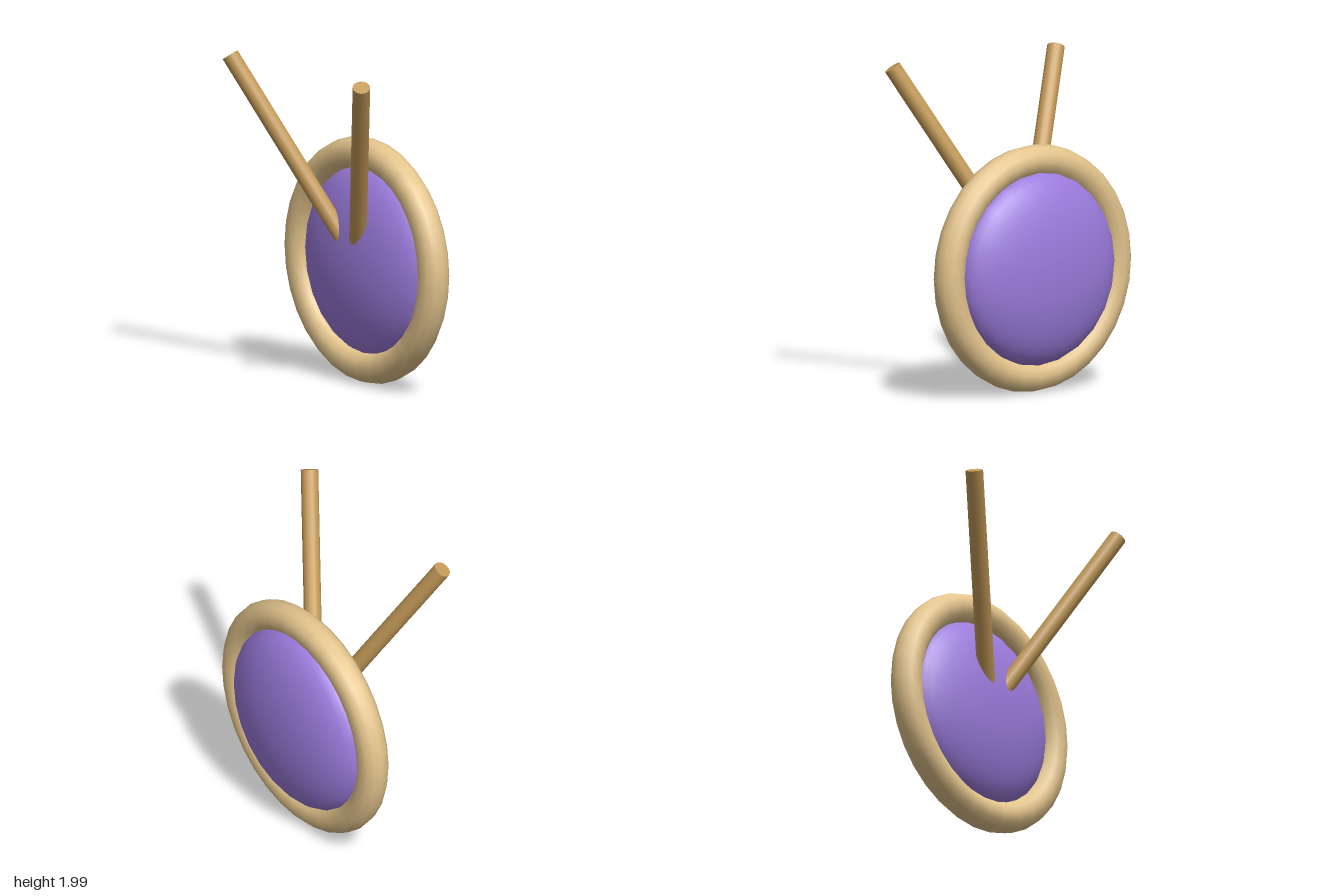
import * as THREE from 'three';

export function createModel() {
  const model = new THREE.Group();
  const paint = (color) => new THREE.MeshStandardMaterial({ color });
  const cushionPurple = paint(0x9b7bdc);
  const paleWood = paint(0xe3c48c);
  const wood = paint(0xc49a58);

  const add = (name, geometry, material, x, y, z) => {
    const mesh = new THREE.Mesh(geometry, material);
    mesh.name = name;
    mesh.position.set(x, y, z);
    model.add(mesh);
    return mesh;
  };

  // Upright hoop
  add('ring', new THREE.TorusGeometry(0.653, 0.095, 12, 32), paleWood, 0, 0.755, -0.168);

  // Flattened ball filling the hoop, its poles facing front and back
  const ball = new THREE.SphereGeometry(0.587, 24, 24).rotateX(Math.PI / 2).scale(1, 1, 0.218 / 0.587);
  add('cushion', ball, cushionPurple, 0, 0.755, -0.203);

  // Two sticks leaning out, up and forward from the middle
  for (const side of [1, -1]) {
    const tip = new THREE.Vector3(side * 0.643, 1.972, 0.37);
    const foot = new THREE.Vector3(side * 0.05, 0.85, -0.06);
    const axis = tip.clone().sub(foot);
    const middle = tip.clone().add(foot).multiplyScalar(0.5);
    const rod = new THREE.CylinderGeometry(0.053, 0.053, axis.length(), 16);
    const stick = add(side > 0 ? 'leftStick' : 'rightStick', rod, wood, middle.x, middle.y, middle.z);
    stick.quaternion.setFromUnitVectors(new THREE.Vector3(0, 1, 0), axis.normalize());
  }

  return model;
}
